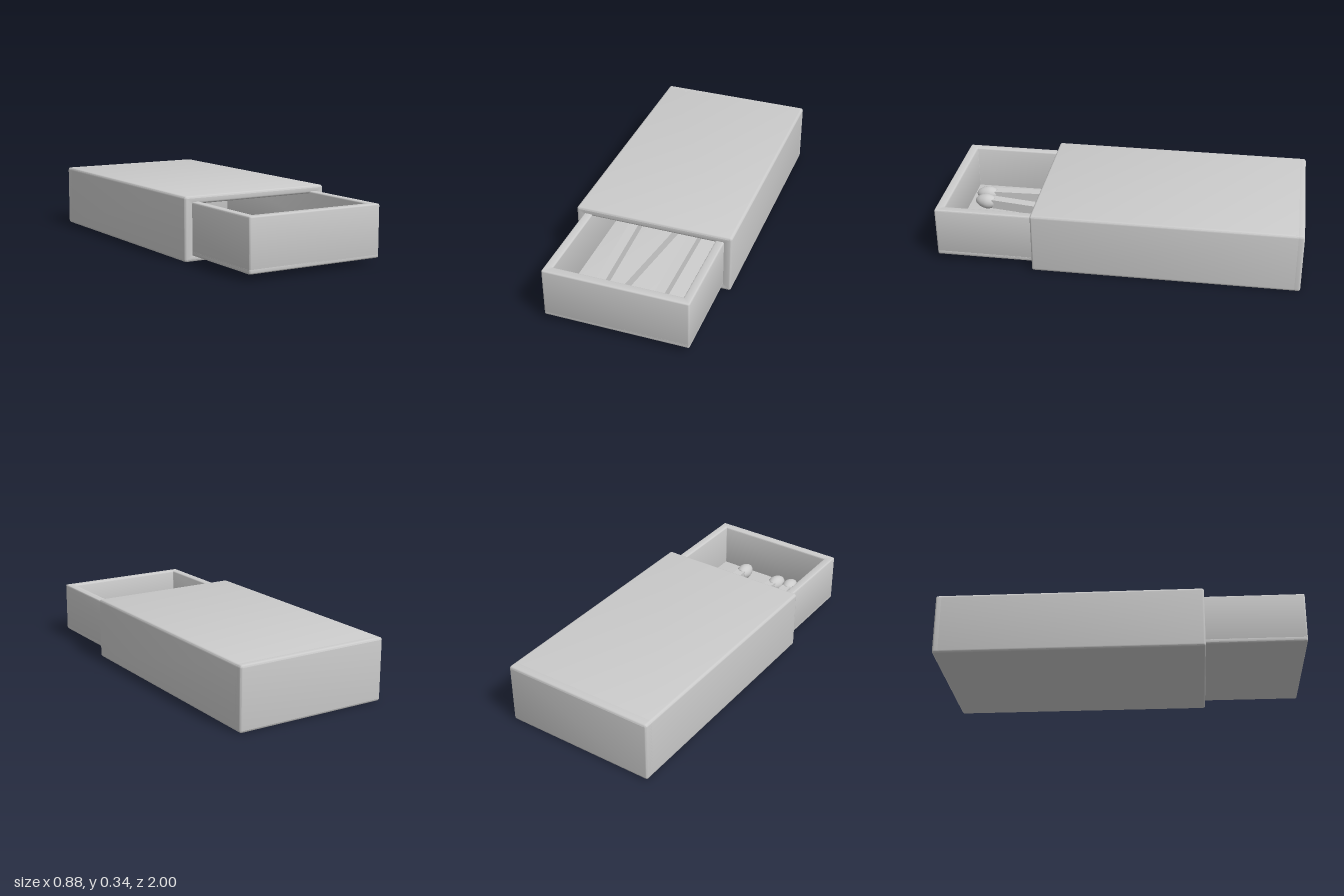
import * as THREE from 'three';
import { toCreasedNormals } from 'three/addons/utils/BufferGeometryUtils.js';

const material = new THREE.MeshStandardMaterial({ color: 0xcccccc });

// Rounded rectangle centred on (0, 0)
function roundedRect(target, w, h, r) {
  const x = w / 2, y = h / 2;
  target.moveTo(-x + r, -y);
  target.lineTo(x - r, -y);
  target.quadraticCurveTo(x, -y, x, -y + r);
  target.lineTo(x, y - r);
  target.quadraticCurveTo(x, y, x - r, y);
  target.lineTo(-x + r, y);
  target.quadraticCurveTo(-x, y, -x, y - r);
  target.lineTo(-x, -y + r);
  target.quadraticCurveTo(-x, -y, -x + r, -y);
  return target;
}

// Soft-edged slab from z = 0 to z = depth, with an optional rectangular opening
function slab(name, w, h, depth, bevel, hole) {
  const shape = roundedRect(new THREE.Shape(), w, h, bevel * 1.3);
  if (hole) shape.holes.push(roundedRect(new THREE.Path(), hole[0], hole[1], 0.002));
  const geometry = new THREE.ExtrudeGeometry(shape, {
    depth: depth - 2 * bevel, bevelThickness: bevel, bevelSize: bevel,
    bevelOffset: -bevel, bevelSegments: 3, curveSegments: 4,
  });
  geometry.translate(0, 0, bevel);
  const mesh = new THREE.Mesh(toCreasedNormals(geometry, 0.6), material);
  mesh.name = name;
  return mesh;
}

// Match lying along z with its tip at z = 0
function createMatch() {
  const match = new THREE.Group();
  match.name = 'match';
  const length = 1.1, thickness = 0.054;
  const stick = new THREE.Mesh(new THREE.BoxGeometry(thickness, thickness, length), material);
  stick.name = 'matchStick';
  stick.position.z = -0.11 - length / 2;

  const profile = new THREE.SplineCurve([
    [0.028, 0], [0.039, 0.022], [0.044, 0.05], [0.036, 0.085], [0.018, 0.112], [0, 0.12],
  ].map(([r, y]) => new THREE.Vector2(r, y))).getPoints(18);
  profile.forEach((p) => { p.x = Math.max(p.x, 0); });
  profile.unshift(new THREE.Vector2(0, 0));
  const head = new THREE.Mesh(new THREE.LatheGeometry(profile, 24), material);
  head.name = 'matchHead';
  head.rotation.x = Math.PI / 2;
  head.position.z = -0.12;
  match.add(stick, head);
  return match;
}

export function createModel() {
  const model = new THREE.Group();
  model.name = 'matchbox';

  // Sleeve, open at the front and closed at the back
  const sleeve = new THREE.Group();
  sleeve.name = 'sleeve';
  const sleeveWalls = slab('sleeveWalls', 0.88, 0.345, 1.44, 0.012, [0.77, 0.259]);
  sleeveWalls.position.z = 0.02;
  sleeve.add(sleeveWalls, slab('sleeveBack', 0.88, 0.345, 0.06, 0.012));
  sleeve.position.set(0, 0.1755, -1);

  // Tray, slid part of the way out
  const tray = new THREE.Group();
  tray.name = 'tray';
  const trayWalls = slab('trayWalls', 0.794, 1.44, 0.272, 0.008, [0.7, 1.34]);
  trayWalls.position.z = 0.01;
  tray.add(trayWalls, slab('trayFloor', 0.794, 1.44, 0.032, 0.008));
  tray.rotation.x = -Math.PI / 2;
  tray.position.set(0, 0.035, 0.28);

  model.add(sleeve, tray);

  // Matches: tip x, tip z, turn about y
  for (const [x, z, turn] of [[-0.176, 0.92, 0.041], [-0.098, 0.908, -0.143], [0.147, 0.92, 0]]) {
    const match = createMatch();
    match.position.set(x, 0.11, z);
    match.rotation.y = turn;
    model.add(match);
  }
  return model;
}
